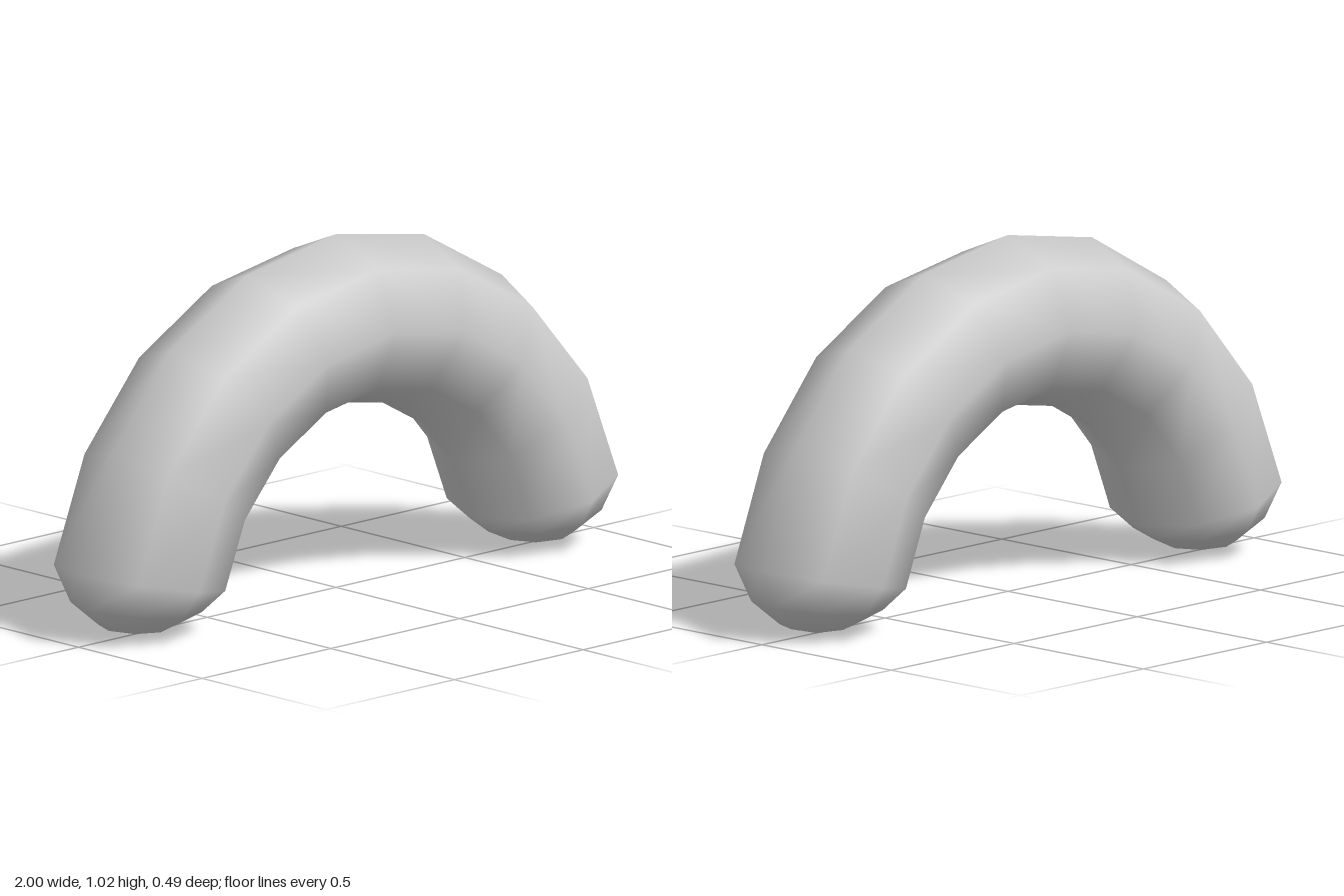
import * as THREE from 'three';
import { mergeVertices } from 'three/addons/utils/BufferGeometryUtils.js';

const ARC_RADIUS = 0.78;
const TUBE_RADIUS = 0.243;
const SIDES = 8;

export function createModel() {
  // Rounded end: [angle along the arc in degrees, share of the tube radius]
  const cap = [[0.2, 0], [1.9, 0.42], [5.9, 0.76]];
  const sections = [...cap];
  // Even body sections between the two ends
  for (let i = 0; i <= 8; i++) sections.push([12 + 19.5 * i, 1]);
  // Mirrored end
  for (const [angle, share] of [...cap].reverse()) sections.push([180 - angle, share]);

  const positions = [];
  for (const [angle, share] of sections) {
    const t = THREE.MathUtils.degToRad(angle);
    for (let j = 0; j < SIDES; j++) {
      const p = (j / SIDES) * Math.PI * 2;
      const d = ARC_RADIUS + TUBE_RADIUS * share * Math.cos(p);
      positions.push(d * Math.cos(t), d * Math.sin(t), TUBE_RADIUS * share * Math.sin(p));
    }
  }

  // Skin between neighbouring sections; each tip is a fan
  const index = [];
  const last = sections.length - 2;
  for (let i = 0; i <= last; i++) {
    for (let j = 0; j < SIDES; j++) {
      const k = (j + 1) % SIDES;
      const a = i * SIDES + j, b = a + SIDES;
      const c = i * SIDES + k, d = c + SIDES;
      if (i < last) index.push(b, d, c);
      if (i === 0) continue;
      index.push(a, b, c);
    }
  }

  let geometry = new THREE.BufferGeometry();
  geometry.setAttribute('position', new THREE.Float32BufferAttribute(positions, 3));
  geometry.setIndex(index);
  geometry = mergeVertices(geometry);
  geometry.computeVertexNormals();

  const arch = new THREE.Mesh(geometry, new THREE.MeshStandardMaterial({ color: 0xcccccc }));
  arch.name = 'roundedArch';
  const group = new THREE.Group();
  group.name = 'curvedTube';
  group.add(arch);
  return group;
}
